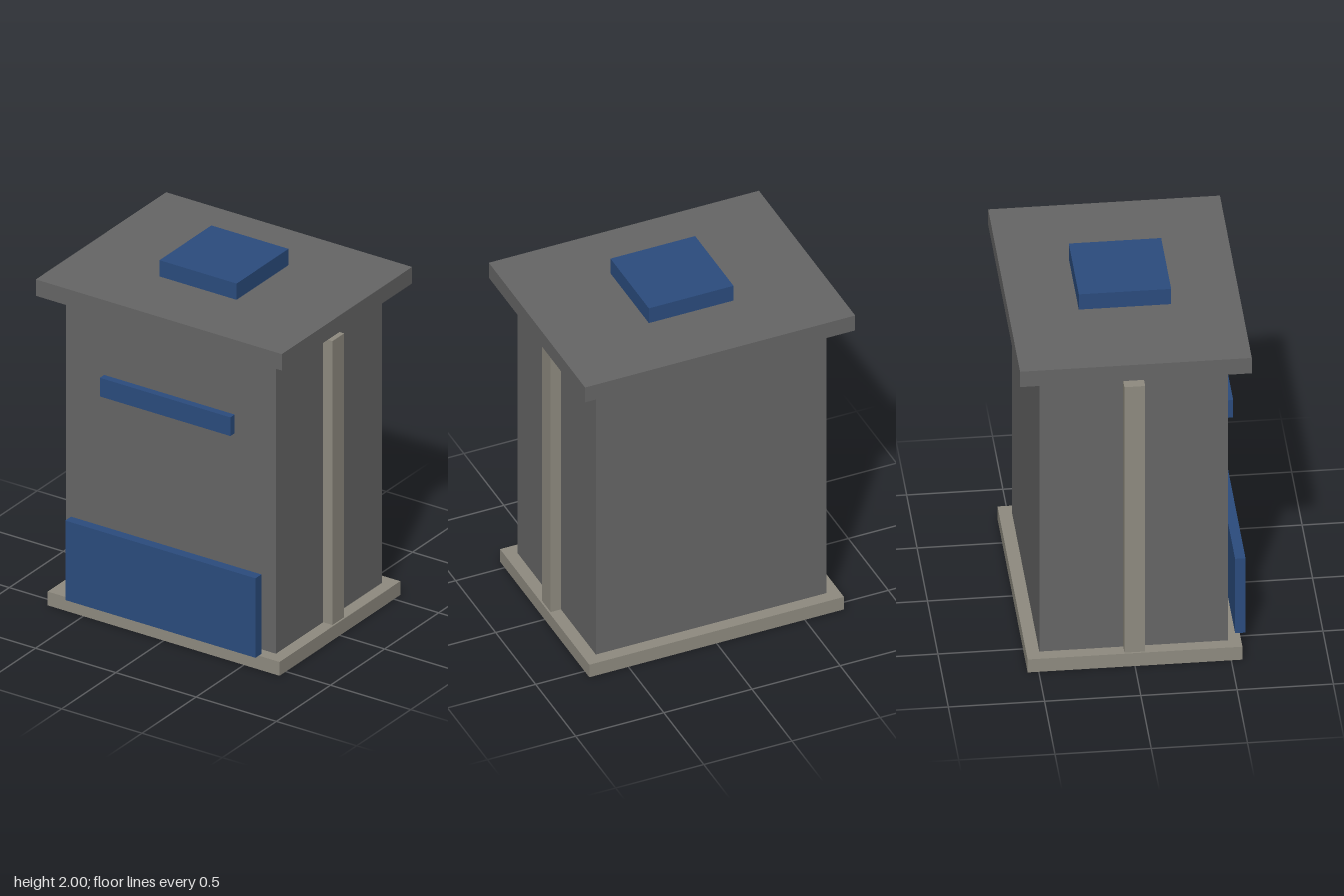
import * as THREE from 'three';

const material = (name, color) => {
  const m = new THREE.MeshStandardMaterial({ color });
  m.name = name;
  return m;
};

export function createModel() {
  const model = new THREE.Group();
  model.name = 'bin';
  const grey = material('dark grey', 0x666666);
  const stone = material('warm grey', 0x8f8b80);
  const blue = material('blue', 0x2b4c7e);

  // Box given by its centre x, width, and y and z ranges
  const block = (name, mat, x, width, y0, y1, z0, z1) => {
    const mesh = new THREE.Mesh(new THREE.BoxGeometry(width, y1 - y0, z1 - z0), mat);
    mesh.name = name;
    mesh.position.set(x, (y0 + y1) / 2, (z0 + z1) / 2);
    model.add(mesh);
  };

  // Plinth, body and overhanging lid
  block('base', stone, 0, 1.444, 0, 0.08, -0.558, 0.558);
  block('body', grey, 0, 1.308, 0.08, 1.79, -0.49, 0.49);
  block('lid', grey, 0, 1.532, 1.797, 1.892, -0.602, 0.602);

  // Raised cap above the lid
  block('cap', blue, 0, 0.48, 1.906, 2, -0.24, 0.24);

  // Front fittings, standing slightly off the body
  block('handle', blue, 0, 0.812, 1.292, 1.4, 0.504, 0.544);
  block('frontPanel', blue, 0, 1.184, 0.08, 0.54, 0.534, 0.588);

  // Upright rib on each side
  for (const [name, side] of [['leftRib', 1], ['rightRib', -1]]) {
    block(name, stone, side * 0.683, 0.058, 0.08, 1.722, -0.054, 0.054);
  }

  return model;
}
